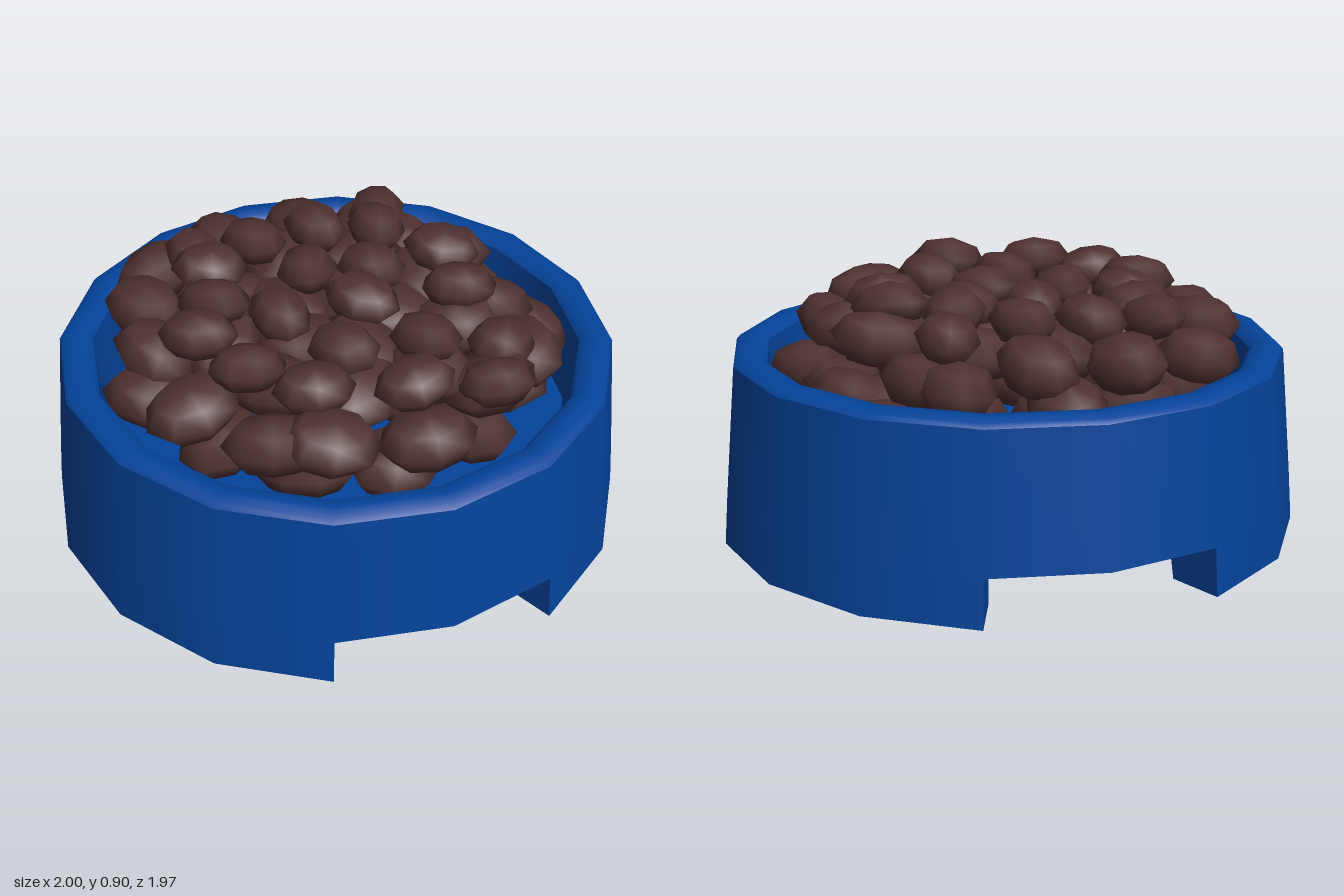
import * as THREE from 'three';

const blue = new THREE.MeshStandardMaterial({ color: 0x04439a });
blue.name = 'bowlBlue';
const brown = new THREE.MeshStandardMaterial({ color: 0x4e3130 });
brown.name = 'kibbleBrown';

const SIDES = 16;
const STEP = (Math.PI * 2) / SIDES;
const rad = THREE.MathUtils.degToRad;

function lathe(profile, sides = SIDES, start = 0) {
  const points = profile.map(([r, y]) => new THREE.Vector2(r, y));
  return new THREE.LatheGeometry(points, sides, start, sides * STEP);
}

function addMesh(parent, name, geometry, material) {
  const mesh = new THREE.Mesh(geometry, material);
  mesh.name = name;
  parent.add(mesh);
  return mesh;
}

// Curved foot with a flat radial cap at each end
function createFoot(name, start) {
  const foot = new THREE.Group();
  foot.name = name;
  const profile = [[0.78, 0.16], [0.81, 0], [0.998, 0], [0.985, 0.16]];
  const sides = SIDES / 2 - 2;
  ['footInside', 'footSole', 'footOutside'].forEach((part, i) => {
    addMesh(foot, part, lathe(profile.slice(i, i + 2), sides, start), blue);
  });
  const cap = (sign, angle) => {
    const shape = new THREE.Shape(profile.map(([r, y]) => new THREE.Vector2(sign * r, y)));
    const geometry = new THREE.ShapeGeometry(shape).rotateY(angle - sign * Math.PI / 2);
    addMesh(foot, 'footEnd', geometry, blue);
  };
  cap(1, start);
  cap(-1, start + sides * STEP);
  return foot;
}

// Top pieces: x, z, height, turn in degrees
const topPieces = [
  [0.09, -0.42, 0.8, 80], [-0.03, -0.19, 0.79, 105], [-0.21, 0.03, 0.79, 95],
  [0.07, 0.06, 0.8, 40], [0.18, -0.12, 0.79, 65], [0.28, -0.31, 0.82, 110],
  [0.44, -0.11, 0.81, 30], [0.41, 0.1, 0.79, 5], [0.18, 0.33, 0.79, 70],
  [-0.09, 0.29, 0.79, 65], [-0.41, 0.27, 0.79, -5], [-0.26, 0.46, 0.8, 10],
  [0.04, 0.55, 0.8, 5], [0.33, 0.55, 0.72, 0], [0.42, 0.4, 0.75, -25],
  [-0.5, 0.05, 0.8, 30], [-0.39, -0.12, 0.79, 50], [-0.34, -0.31, 0.8, 10],
  [-0.35, -0.43, 0.78, 80], [-0.14, -0.43, 0.79, 70], [0.35, -0.47, 0.78, 105],
];
// Outer pieces lower down: x, z, height, turn in degrees
const outerPieces = [
  [-0.62, -0.05, 0.69, 70], [-0.67, 0.05, 0.6, 30], [-0.6, 0.28, 0.69, -10],
  [-0.42, 0.52, 0.67, 20], [-0.26, 0.6, 0.69, 15], [0.04, 0.66, 0.66, 5],
  [0.33, 0.5, 0.68, 0], [0.53, 0.36, 0.66, 100], [0.67, 0.12, 0.56, 70],
  [0.5, -0.2, 0.72, 30], [0.6, -0.22, 0.54, 70], [0.57, -0.45, 0.5, 55],
  [0.35, -0.57, 0.64, 100], [0.1, -0.6, 0.7, 85], [-0.19, -0.61, 0.69, 90],
  [-0.47, -0.54, 0.67, 150], [-0.58, -0.29, 0.71, 75], [0.03, -0.68, 0.58, 90],
  [0.43, -0.45, 0.64, 80], [0.52, 0.1, 0.69, 20],
];

export function createModel() {
  const model = new THREE.Group();
  model.name = 'filledPetBowl';

  // Bowl: underside, tapered wall, rounded rim, inner wall and floor
  addMesh(model, 'bowlUnderside', lathe([[0, 0.16], [0.985, 0.16]]), blue);
  addMesh(model, 'bowlWall', lathe([[0.985, 0.16], [0.943, 0.61]]), blue);
  addMesh(model, 'bowlRim', lathe([
    [0.943, 0.61], [0.93, 0.625], [0.89, 0.635], [0.85, 0.63], [0.83, 0.61],
  ]), blue);
  addMesh(model, 'bowlInnerWall', lathe([[0.83, 0.61], [0.795, 0.36]]), blue);
  addMesh(model, 'bowlFloor', lathe([[0.795, 0.36], [0, 0.36]]), blue);

  // Two feet, leaving a gap at the front and at the back
  model.add(createFoot('leftFoot', STEP), createFoot('rightFoot', STEP + Math.PI));

  // Food heap
  const food = new THREE.Group();
  food.name = 'food';
  model.add(food);
  const kibble = new THREE.SphereGeometry(1, 8, 4);
  let count = 0;
  const addKibble = (x, z, y, turn, length, height, width) => {
    const piece = addMesh(food, 'kibble', kibble, brown);
    piece.position.set(x, y, z);
    piece.scale.set(length, height, width);
    piece.rotation.set(0.2 * Math.sin(count * 2.3), -rad(turn), 0.18 * Math.sin(count * 1.7), 'YXZ');
    count++;
  };
  topPieces.forEach(([x, z, y, turn]) => addKibble(x, z, y, turn, 0.135, 0.077, 0.105));
  outerPieces.forEach(([x, z, y, turn]) => addKibble(x, z, y, turn, 0.165, 0.092, 0.13));

  // Inner and buried rings: number of pieces, ring radius, height
  [[9, 0.4, 0.68], [5, 0.18, 0.68], [12, 0.57, 0.52], [7, 0.3, 0.56]].forEach(([n, r, y]) => {
    for (let i = 0; i < n; i++) {
      const a = (i / n) * Math.PI * 2 + r;
      addKibble(r * Math.cos(a), r * Math.sin(a), y, i * 77, 0.18, 0.092, 0.14);
    }
  });
  return model;
}
